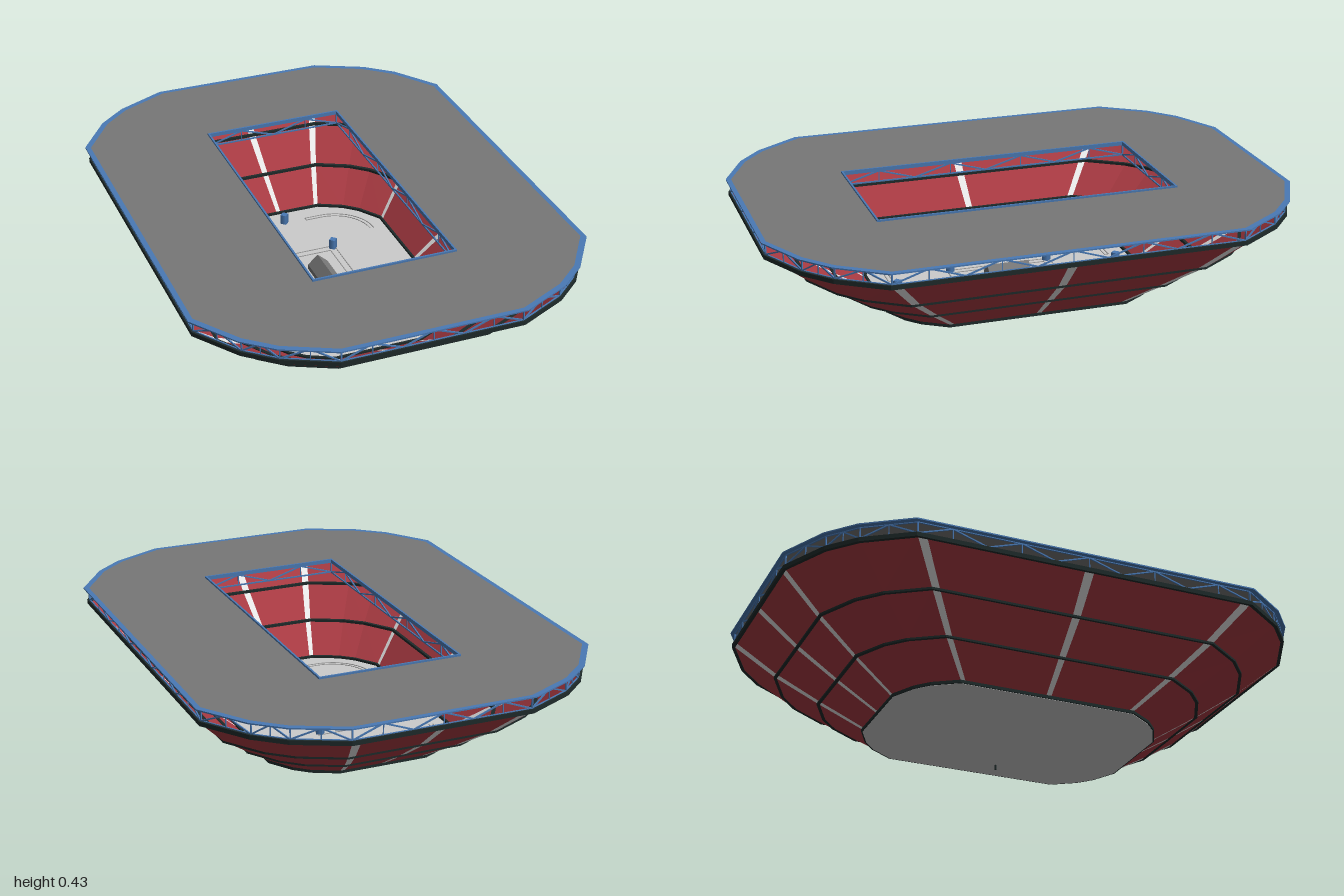
import * as THREE from 'three';
import { mergeGeometries } from 'three/addons/utils/BufferGeometryUtils.js';

const mat = (name, color, side = THREE.FrontSide) => {
  const m = new THREE.MeshStandardMaterial({ color, side });
  m.name = name;
  return m;
};

// Quadrant of the unit plan outline, from front centre to side centre, with stair edges
const QUADRANT = [[0.022, 1], [0.41, 1], [0.455, 1], [0.705, 0.91], [0.845, 0.82], [1, 0.65], [1, 0.615], [1, 0.018]];
const STAIR_SEGMENTS = [1, 5, 7, 9, 13, 15];
const rev = [...QUADRANT].reverse();
const OUTLINE = [
  ...QUADRANT,
  ...rev.map(([x, z]) => [x, -z]),
  ...QUADRANT.map(([x, z]) => [-x, -z]),
  ...rev.map(([x, z]) => [-x, z]),
];
const CORNERS = OUTLINE.filter((_, i) => [2, 3, 4, 5, 10, 11, 12, 13].includes(i % 16));

const scaled = (sx, sz, pts = CORNERS) => pts.map(([x, z]) => [x * sx, z * sz]);
const rect = (x, z) => [[x, z], [x, -z], [-x, -z], [-x, z]];

// Flat plate or frame lying at height y
function plate(outer, inner, y, h) {
  const toV = (pts) => pts.map(([x, z]) => new THREE.Vector2(x, -z));
  const shape = new THREE.Shape(toV(outer));
  if (inner) shape.holes.push(new THREE.Path(toV(inner)));
  const g = new THREE.ExtrudeGeometry(shape, { depth: h, bevelEnabled: false });
  return g.rotateX(-Math.PI / 2).translate(0, y, 0);
}

// Square bar between two points
function beam(a, b, w, h = w) {
  const p = new THREE.Vector3(...a), q = new THREE.Vector3(...b);
  const g = new THREE.BoxGeometry(w, h, p.distanceTo(q));
  const m = new THREE.Matrix4().lookAt(q, p, new THREE.Vector3(0, 1, 0));
  m.setPosition(p.add(q).multiplyScalar(0.5));
  return g.applyMatrix4(m);
}

// Zigzag truss around a closed plan loop
function truss(loop, y0, y1, bay, w) {
  const parts = [];
  loop.forEach(([x0, z0], i) => {
    const [x1, z1] = loop[(i + 1) % loop.length];
    const n = 2 * Math.max(1, Math.round(Math.hypot(x1 - x0, z1 - z0) / bay / 2));
    const at = (t, y) => [x0 + (x1 - x0) * t, y, z0 + (z1 - z0) * t];
    parts.push(beam(at(0, y0), at(1, y0), w), beam(at(0, y1), at(1, y1), w));
    parts.push(beam(at(0, y0), at(0.0001, y1), w));
    for (let k = 0; k < n; k++) {
      parts.push(beam(at(k / n, k % 2 ? y1 : y0), at((k + 1) / n, k % 2 ? y0 : y1), w));
      if (k % 2) parts.push(beam(at(k / n, y0), at(k / n + 0.0001, y1), w * 0.7));
    }
  });
  return mergeGeometries(parts);
}

// Height, half width and half depth of the bowl at each tier
const TIERS = [[0.03, 0.37, 0.52], [0.13, 0.49, 0.68], [0.235, 0.615, 0.835], [0.362, 0.733, 0.99]];

// Sloping bowl faces, either the seating panels or the stairs
function bowl(wantStairs) {
  const pos = [];
  for (let t = 0; t < TIERS.length - 1; t++) {
    OUTLINE.forEach((p, i) => {
      if (STAIR_SEGMENTS.includes(i % 16) !== wantStairs) return;
      const q = OUTLINE[(i + 1) % OUTLINE.length];
      const at = ([x, z], [y, sx, sz]) => [x * sx, y, z * sz];
      const a = at(p, TIERS[t]), b = at(q, TIERS[t]);
      const c = at(q, TIERS[t + 1]), d = at(p, TIERS[t + 1]);
      pos.push(...a, ...b, ...c, ...a, ...c, ...d);
    });
  }
  const g = new THREE.BufferGeometry();
  g.setAttribute('position', new THREE.Float32BufferAttribute(pos, 3));
  g.computeVertexNormals();
  return g;
}

export function createModel() {
  const red = mat('seating red', 0xa83a42, THREE.DoubleSide);
  const white = mat('stair white', 0xf4f4f4, THREE.DoubleSide);
  const grey = mat('roof grey', 0x777777);
  const pale = mat('floor pale grey', 0xcccccc);
  const blue = mat('steel blue', 0x4a7ab5);
  const dark = mat('rail dark', 0x1e2a2a);
  const line = mat('marking grey', 0x999999);

  const model = new THREE.Group();
  const add = (name, geometry, material) => {
    const m = new THREE.Mesh(geometry, material);
    m.name = name;
    model.add(m);
  };

  // Bowl with stairs and tier rails
  add('seatingBowl', bowl(false), red);
  add('stairs', bowl(true), white);
  TIERS.slice(1).forEach(([y, sx, sz], i) => {
    const h = i === 2 ? 0.016 : 0.01, w = 0.008;
    add('tierRail', plate(scaled(sx + w * 0.4, sz + w * 0.4), scaled(sx - w, sz - w), y - h / 2, h), dark);
  });

  // Arena floor, base rim and drain
  add('floor', plate(scaled(0.368, 0.518), null, 0.02, 0.01), pale);
  add('baseRim', plate(scaled(0.373, 0.523), scaled(0.364, 0.514), 0.021, 0.018), dark);
  add('drain', new THREE.CylinderGeometry(0.004, 0.004, 0.022, 6).translate(0.27, 0.011, 0.06), dark);

  // Floor markings: two nested rectangles and four rounded corner lanes
  const marks = [[0.118, 0.208], [0.092, 0.18]].map(([x, z]) =>
    plate(rect(x, z), rect(x - 0.003, z - 0.003), 0.03, 0.002));
  for (const sx of [-1, 1]) for (const sz of [-1, 1]) {
    for (const r of [0.166, 0.15]) {
      const pts = [[0.085, 0.28 + r]];
      for (let k = 0; k <= 10; k++) {
        const a = (k / 10) * Math.PI / 2;
        pts.push([0.15 + Math.sin(a) * r, 0.28 + Math.cos(a) * r]);
      }
      for (let k = 0; k + 1 < pts.length; k++) {
        const [p, q] = [pts[k], pts[k + 1]].map(([x, z]) => [x * sx, 0.031, z * sz]);
        marks.push(beam(p, q, 0.003, 0.002));
      }
    }
    marks.push(beam([0.085 * sx, 0.031, 0.43 * sz], [0.085 * sx, 0.031, 0.446 * sz], 0.003, 0.002));
  }
  marks.forEach((g) => add('floorMarking', g, line));

  // Short posts on the floor
  const posts = [[0.107, 0.195], [0.107, -0.195], [-0.107, 0.195], [-0.107, -0.195], [-0.005, -0.443], [0.005, 0.435]];
  for (const [x, z] of posts) {
    add('post', new THREE.CylinderGeometry(0.017, 0.017, 0.04, 4).toNonIndexed().translate(x, 0.05, z), blue);
  }

  // Ridged centre block
  const ridge = new THREE.Shape([[-0.04, 0], [0.04, 0], [0.04, 0.02], [0, 0.055], [-0.04, 0.02]]
    .map(([x, y]) => new THREE.Vector2(x, y)));
  add('centreBlock', new THREE.ExtrudeGeometry(ridge, { depth: 0.165, bevelEnabled: false })
    .translate(0, 0.03, -0.085), grey);

  // Roof with rectangular opening and steel edging
  add('roof', plate(scaled(0.728, 0.982), rect(0.268, 0.568), 0.413, 0.005), grey);
  add('roofEdge', plate(scaled(0.747, 1), scaled(0.728, 0.982), 0.413, 0.005), blue);
  add('openingEdge', plate(rect(0.273, 0.573), rect(0.266, 0.566), 0.41, 0.015), blue);

  // Trusses under the roof edge and around the opening
  add('outerTruss', truss(scaled(0.728, 0.985), 0.37, 0.412, 0.13, 0.005), blue);
  add('openingTruss', truss(rect(0.269, 0.569), 0.37, 0.412, 0.135, 0.005), blue);

  return model;
}
